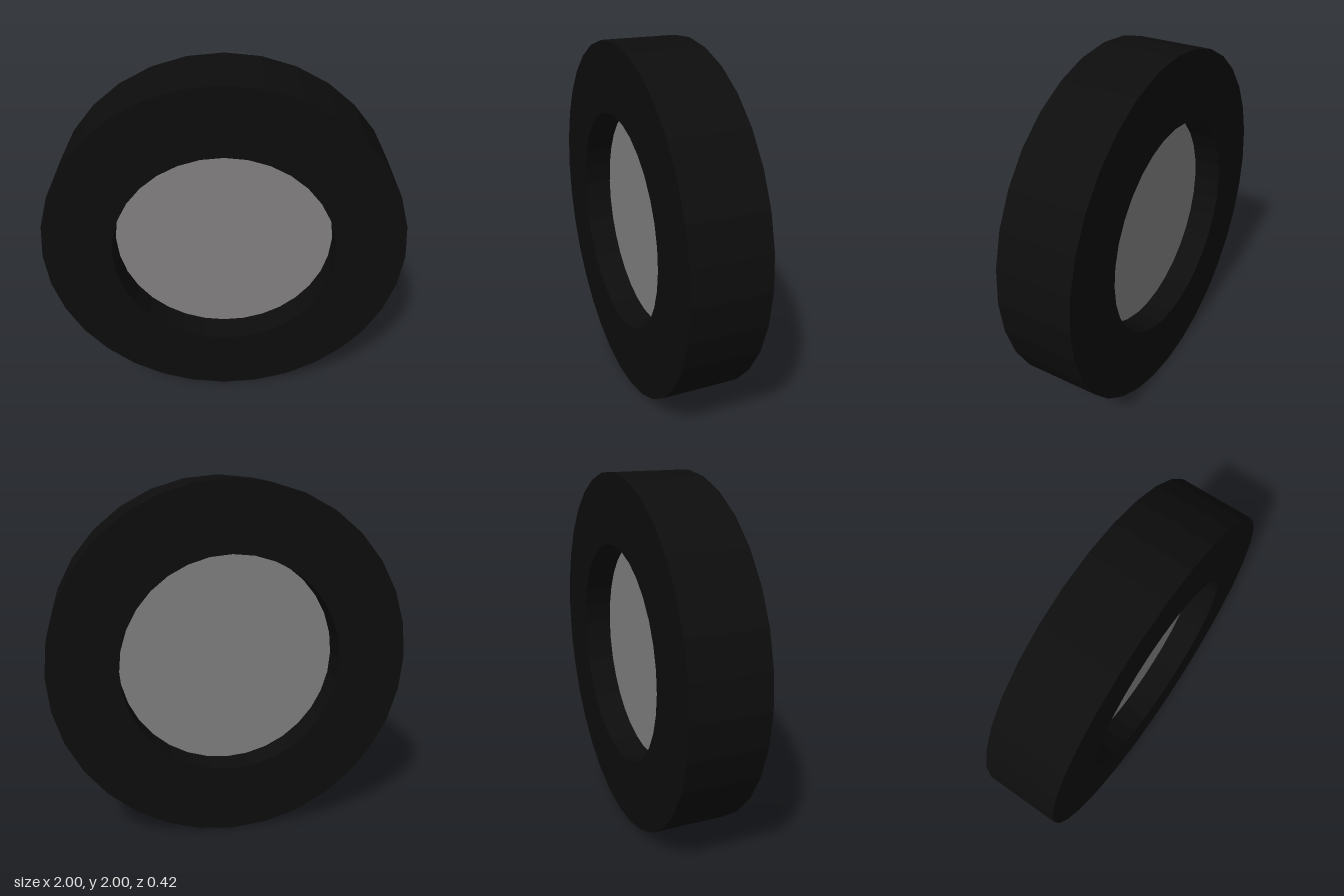
import * as THREE from 'three';

const SIDES = 32;
const OUTER = 1, INNER = 0.615, HALF_WIDTH = 0.212, HUB_HALF = 0.05;

// Turn the axle from y to z, lift the wheel onto the ground and facet it
function place(geometry) {
  const g = geometry.toNonIndexed();
  g.rotateX(Math.PI / 2);
  g.translate(0, OUTER, 0);
  g.computeVertexNormals();
  return g;
}

export function createModel() {
  const rubber = new THREE.MeshStandardMaterial({ color: 0x0d0d0d });
  rubber.name = 'black rubber';
  const metal = new THREE.MeshStandardMaterial({ color: 0x838182 });
  metal.name = 'grey metal';

  const wheel = new THREE.Group();
  wheel.name = 'wheel';

  // Tyre: square-edged ring, open through the middle
  const profile = [
    [INNER, -HALF_WIDTH],
    [OUTER, -HALF_WIDTH],
    [OUTER, HALF_WIDTH],
    [INNER, HALF_WIDTH],
    [INNER, -HALF_WIDTH],
  ].map(([r, y]) => new THREE.Vector2(r, y));
  const tyre = new THREE.Mesh(place(new THREE.LatheGeometry(profile, SIDES)), rubber);
  tyre.name = 'tyre';
  wheel.add(tyre);

  // Hub: solid disc, recessed equally on both faces
  const hub = new THREE.Mesh(
    place(new THREE.CylinderGeometry(INNER, INNER, HUB_HALF * 2, SIDES)), metal);
  hub.name = 'hubDisc';
  wheel.add(hub);

  return wheel;
}
